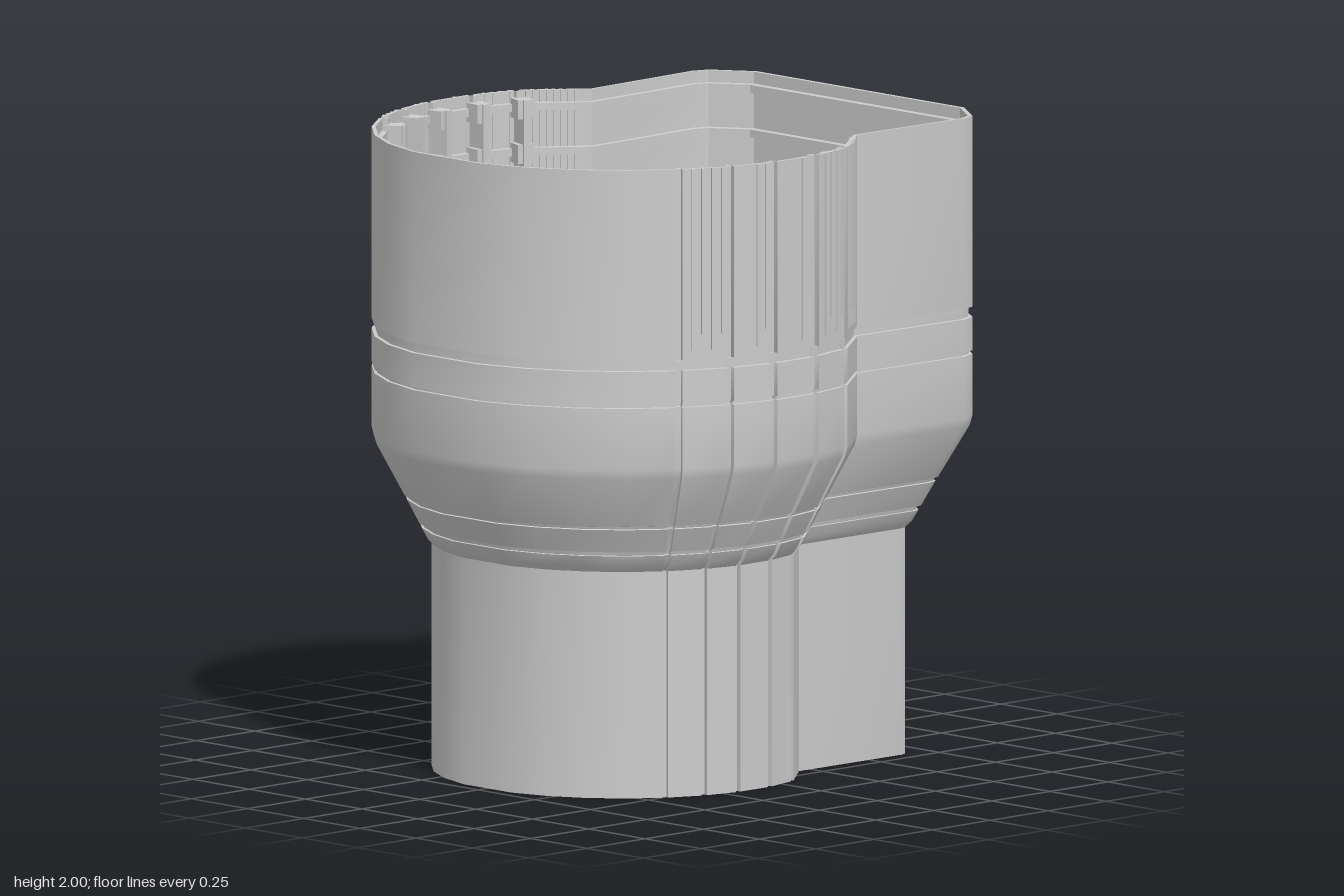
import * as THREE from 'three';
import { toCreasedNormals } from 'three/addons/utils/BufferGeometryUtils.js';

const CZ = 0.13, R_TOP = 0.775, R_LOW = 0.59;
const FOLDS = [31, 18.5, 6.7, -6.7, -19]; // fold grooves, degrees from +x towards +z
const LEDGES = [1.95, 1.81, 1.67, 1.53];
const rad = THREE.MathUtils.degToRad;

// Half section: [upper x, z, lower x, z, inset], from the front round to the back
function halfSection() {
  const pts = [];
  const arc = (deg, inset = 0, rt = R_TOP, rl = R_LOW) => {
    const c = Math.cos(rad(deg)), s = Math.sin(rad(deg));
    pts.push([rt * c, CZ + rt * s, rl * c, CZ + rl * s, inset]);
  };
  [79.5, 67, 55, 43].forEach(a => arc(a));
  for (const a of FOLDS) {
    arc(a + 0.85); arc(a + 0.8, 0.09); arc(a - 0.8, 0.09); arc(a - 0.85);
  }
  pts.push(
    [0.59, -0.31, 0.445, -0.2, 0], // notch between round and square parts
    [0.605, -0.76, 0.45, -0.635, 0], // chamfered back corner
    [0.585, -0.81, 0.443, -0.658, 0],
    [0.46, -0.895, 0.42, -0.675, 0]
  );
  return pts;
}

// Closed wall profile [y, t]: t = 0 is the lower section, t = 1 the upper one
function wallProfile() {
  const outer = [
    [0, 0], [0.71, 0], [0.73, 0.1], [0.765, 0.2], [0.766, 0.16], [0.778, 0.18],
    [0.779, 0.24], [0.855, 0.45], [0.857, 0.42], [0.866, 0.44], [0.868, 0.49],
    [1.03, 0.96], [1.06, 1],
    [1.253, 1], [1.254, 0.95], [1.263, 0.95], [1.264, 1],
    [1.369, 1], [1.37, 0.94], [1.4, 0.94], [1.401, 1], [2, 1]
  ];
  const w = 0.065, inner = [[2, 1 - w]];
  for (const y of [...LEDGES, 1.385, 1.26]) {
    inner.push([y + 0.013, 1 - w], [y + 0.012, 0.84], [y - 0.012, 0.84], [y - 0.013, 1 - w]);
  }
  inner.push([1.06, 1 - w], [0.868, 0.42], [0.866, 0.36], [0.779, 0.14], [0.77, 0.08], [0.71, -w], [0, -w]);
  return [...outer, ...inner];
}

function shellGeometry() {
  const half = halfSection();
  const section = [...half, ...half.map(([a, b, c, d, e]) => [-a, b, -c, d, e]).reverse()];
  const profile = wallProfile(), n = section.length, m = profile.length;
  const pos = [], idx = [];
  for (const [ux, uz, lx, lz, inset] of section) {
    for (const [y, t] of profile) {
      const k = t - inset;
      pos.push(lx + (ux - lx) * k, y, lz + (uz - lz) * k);
    }
  }
  for (let i = 0; i < n; i++) {
    for (let j = 0; j < m; j++) {
      const i2 = (i + 1) % n, j2 = (j + 1) % m;
      const a = i * m + j, b = i2 * m + j, c = i2 * m + j2, d = i * m + j2;
      idx.push(a, b, c, a, c, d);
    }
  }
  const g = new THREE.BufferGeometry();
  g.setAttribute('position', new THREE.Float32BufferAttribute(pos, 3));
  g.setIndex(idx);
  return toCreasedNormals(g, 0.5);
}

export function createModel() {
  const model = new THREE.Group();
  const mat = new THREE.MeshStandardMaterial({ color: 0xcccccc, side: THREE.DoubleSide });

  const shell = new THREE.Mesh(shellGeometry(), mat);
  shell.name = 'keyholeFunnelShell';
  model.add(shell);

  // Box laid along the radius at a given angle, on the side given by sign
  function radialBox(parent, name, sign, deg, r0, r1, y0, y1, width) {
    const a = rad(deg), r = (r0 + r1) / 2;
    const box = new THREE.Mesh(new THREE.BoxGeometry(r1 - r0, y1 - y0, width), mat);
    box.position.set(sign * r * Math.cos(a), (y0 + y1) / 2, CZ + r * Math.sin(a));
    box.rotation.y = -sign * a;
    box.name = name;
    parent.add(box);
  }

  for (const sign of [1, -1]) {
    const inside = new THREE.Group(), outside = new THREE.Group();
    inside.name = sign > 0 ? 'leftInnerRibs' : 'rightInnerRibs';
    outside.name = sign > 0 ? 'leftOuterSlats' : 'rightOuterSlats';
    model.add(inside, outside);

    // Inner ribs with blocks at the ledges and a long pin below
    for (const deg of FOLDS) {
      radialBox(inside, 'rib', sign, deg, 0.69, 0.755, 1.41, 1.98, 0.022);
      for (const y of LEDGES) {
        radialBox(inside, 'ribBlock', sign, deg, 0.7, 0.755, y - 0.03, y + 0.03, 0.055);
      }
      radialBox(inside, 'pin', sign, deg, 0.4, 0.765, 1.37, 1.4, 0.03);
    }

    // Thin vertical slats on the outside: [first z, last z, count]
    for (const [za, zb, count] of [[0.49, 0.4, 4], [0.28, 0.25, 2], [0.1, 0.1, 1], [-0.01, -0.1, 4], [-0.15, -0.29, 8]]) {
      for (let i = 0; i < count; i++) {
        const z = za + (zb - za) * (count > 1 ? i / (count - 1) : 0);
        const deg = THREE.MathUtils.radToDeg(Math.asin((z - CZ) / R_TOP));
        const r = 0.77 - Math.max(0, -19 - deg) / 15 * 0.04;
        radialBox(outside, 'slat', sign, deg, r - 0.012, r + 0.009, i % 2 ? 1.48 : 1.43, 2, 0.011);
      }
    }
  }
  return model;
}
